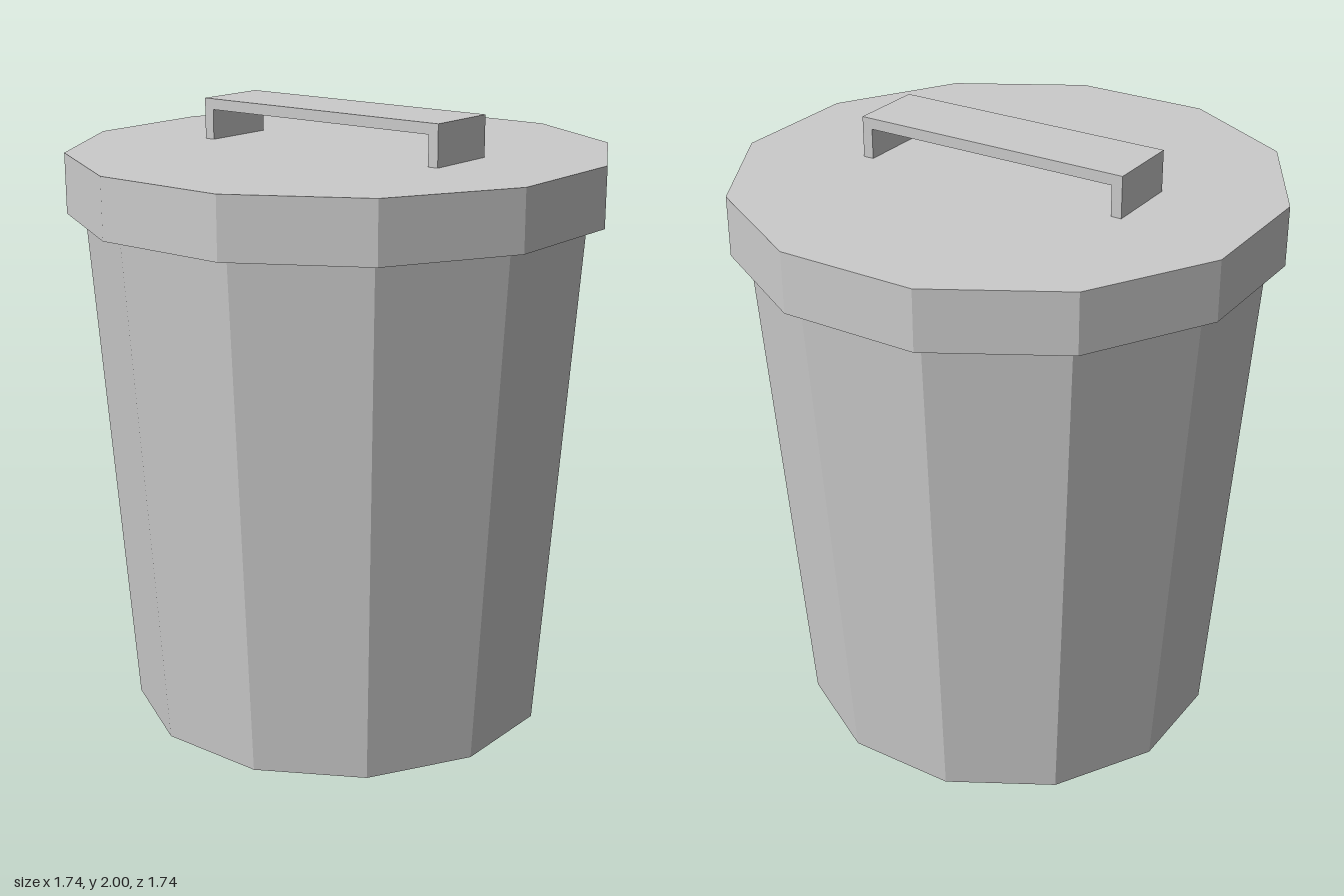
import * as THREE from 'three';

const SIDES = 12;
const material = new THREE.MeshStandardMaterial({ color: 0xcccccc, flatShading: true });

function addPart(group, name, geometry) {
  const mesh = new THREE.Mesh(geometry, material);
  mesh.name = name;
  group.add(mesh);
  return mesh;
}

// Twelve-sided turned solid from [radius, height] pairs
function turned(profile) {
  return new THREE.LatheGeometry(profile.map(([r, y]) => new THREE.Vector2(r, y)), SIDES);
}

export function createModel() {
  const bin = new THREE.Group();
  bin.name = 'bin';

  // Tapered body with a flat base, reaching up inside the lid
  addPart(bin, 'body', turned([[0, 0], [0.695, 0], [0.827, 1.84]]));

  // Hollow lid whose skirt hangs clear of the body
  addPart(bin, 'lid', turned([
    [0, 1.84], [0.845, 1.84], [0.845, 1.675], [0.872, 1.675], [0.872, 1.868], [0, 1.868],
  ]));

  // Bridge-shaped strap handle, turned slightly across the lid
  const half = 0.466, thick = 0.035, width = 0.25, base = 1.868, top = 2;
  const bridge = new THREE.Shape([
    [-half, base], [-half + thick, base], [-half + thick, top - thick],
    [half - thick, top - thick], [half - thick, base], [half, base],
    [half, top], [-half, top],
  ].map(([x, y]) => new THREE.Vector2(x, y)));
  const strap = new THREE.ExtrudeGeometry(bridge, { depth: width, bevelEnabled: false });
  strap.translate(0, 0, -width / 2);
  strap.rotateY(Math.PI / 2);
  addPart(bin, 'handle', strap).rotation.y = Math.PI / 12;

  return bin;
}
